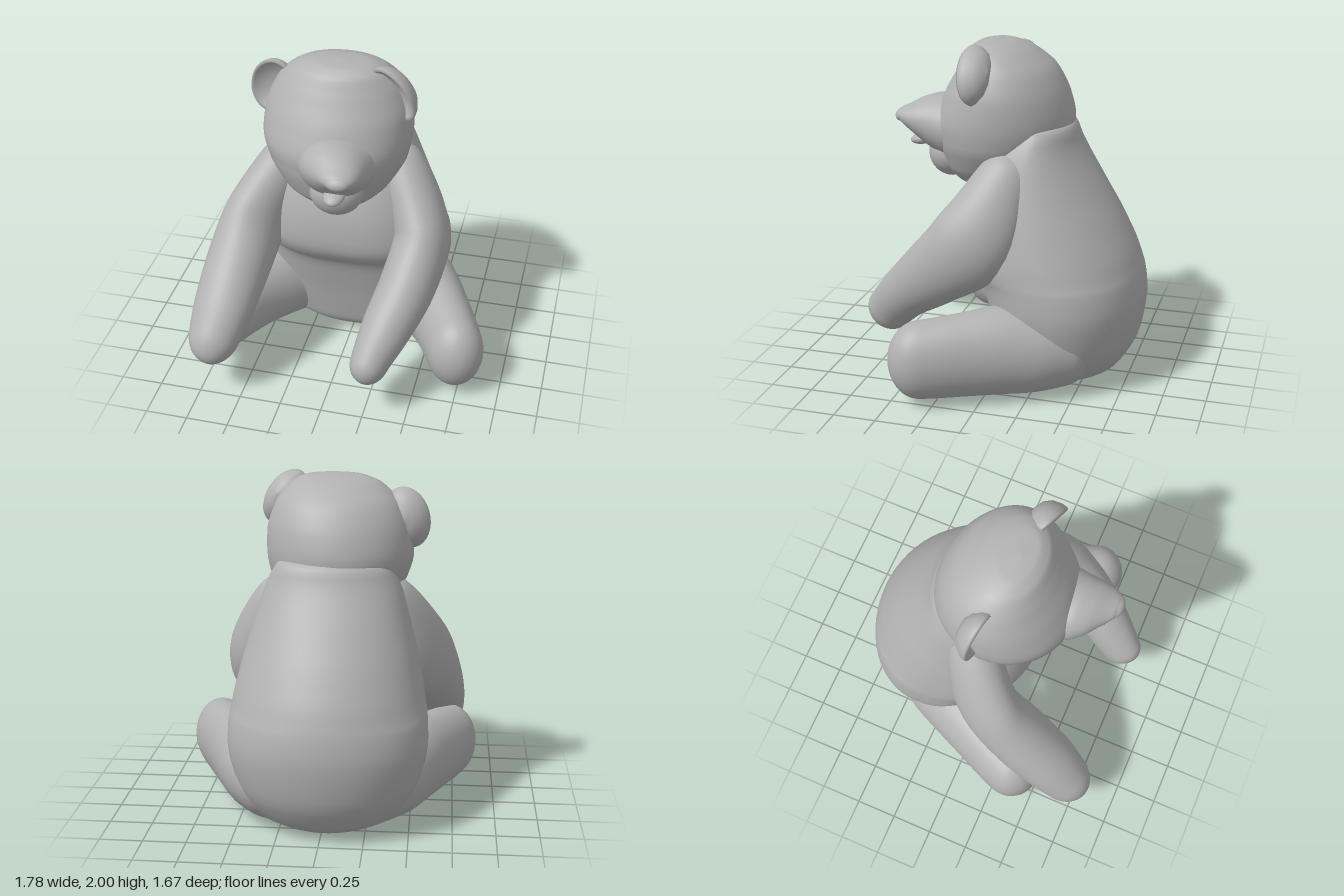
import * as THREE from 'three';

const V = (x, y, z) => new THREE.Vector3(x, y, z);

// Smooth skin through elliptical sections [x, y, z, radiusU, radiusV].
// The U axis is fixed sideways, V is square to U and to the path.
// A frontPower above 2 squares off the half on the negative V side.
function loft(rows, { side, dir = null, cap = false, frontPower = 2, rings = 48, sides = 40 }) {
  const path = new THREE.CatmullRomCurve3(rows.map(r => V(r[0], r[1], r[2])));
  const size = new THREE.CatmullRomCurve3(rows.map(r => V(r[3], r[4], 0)));
  const first = path.getPoint(0), last = path.getPoint(1);
  const pos = [], idx = [];
  const bend = (c, p) => Math.sign(c) * Math.abs(c) ** (2 / p);
  for (let i = 0; i <= rings; i++) {
    const s = (1 - Math.cos(Math.PI * i / rings)) / 2;
    const c = path.getPoint(s), r = size.getPoint(s);
    const t = dir || path.getTangent(s);
    const u = side.clone().addScaledVector(t, -side.dot(t)).normalize();
    const v = t.clone().cross(u);
    let f = 1;
    if (cap) {
      const d = Math.min(c.distanceTo(first), c.distanceTo(last));
      const reach = Math.max(r.x, 0.01);
      if (d < reach) f = Math.sqrt(Math.max(0, 1 - (1 - d / reach) ** 2));
    }
    for (let j = 0; j < sides; j++) {
      const a = 2 * Math.PI * j / sides;
      const power = Math.sin(a) < 0 ? frontPower : 2;
      const p = c.clone()
        .addScaledVector(u, bend(Math.cos(a), power) * Math.max(r.x, 0) * f)
        .addScaledVector(v, bend(Math.sin(a), power) * Math.max(r.y, 0) * f);
      pos.push(p.x, p.y, p.z);
      if (i < rings) {
        const k = i * sides, n = (j + 1) % sides;
        idx.push(k + j, k + n, k + sides + j, k + n, k + sides + n, k + sides + j);
      }
    }
  }
  const g = new THREE.BufferGeometry();
  g.setAttribute('position', new THREE.Float32BufferAttribute(pos, 3));
  g.setIndex(idx);
  g.computeVertexNormals();
  return g;
}

// Upright form from rows [y, x0, x1, zBack, zFront]
function upright(rows, frontPower) {
  const sections = rows.map(([y, x0, x1, z0, z1]) =>
    [(x0 + x1) / 2, y, (z0 + z1) / 2, (x1 - x0) / 2, (z1 - z0) / 2]);
  return loft(sections, { side: V(1, 0, 0), dir: V(0, 1, 0), frontPower, rings: 64, sides: 64 });
}

// Limb with rounded ends
function limb(rows) {
  const a = rows[0], b = rows[rows.length - 1];
  const side = V(b[2] - a[2], 0, a[0] - b[0]).normalize();
  return loft(rows, { side, cap: true });
}

export function createModel() {
  const group = new THREE.Group();
  const grey = new THREE.MeshStandardMaterial({ color: 0xb2b2b2 });
  grey.name = 'plainGrey';
  const add = (name, geometry) => {
    const m = new THREE.Mesh(geometry, grey);
    m.name = name;
    group.add(m);
    return m;
  };
  const blob = (name, [x, y, z], [a, b, c], tilt) => {
    const m = add(name, new THREE.SphereGeometry(1, 28, 18));
    m.position.set(x, y, z);
    m.scale.set(a, b, c);
    m.rotation.x = tilt;
  };

  // Pear-shaped body with the chest folding over the lap
  add('body', upright([
    [0.005, -0.02, -0.02, -0.4, -0.4],
    [0.018, -0.28, 0.24, -0.58, -0.1],
    [0.09, -0.44, 0.4, -0.695, -0.01],
    [0.25, -0.54, 0.5, -0.79, 0.03],
    [0.5, -0.6, 0.56, -0.832, 0.09],
    [0.65, -0.595, 0.555, -0.815, 0.14],
    [0.71, -0.585, 0.545, -0.8, 0.2],
    [0.8, -0.57, 0.53, -0.77, 0.25],
    [1.0, -0.53, 0.48, -0.67, 0.25],
    [1.2, -0.48, 0.42, -0.55, 0.19],
    [1.4, -0.42, 0.35, -0.43, 0.07],
    [1.53, -0.33, 0.27, -0.365, -0.05],
    [1.58, -0.02, -0.02, -0.18, -0.18],
  ], 2.6));

  // Head
  add('head', upright([
    [1.13, -0.03, -0.03, 0.17, 0.17],
    [1.165, -0.22, 0.15, -0.03, 0.31],
    [1.25, -0.355, 0.255, -0.2, 0.39],
    [1.4, -0.455, 0.345, -0.33, 0.44],
    [1.53, -0.49, 0.37, -0.37, 0.45],
    [1.7, -0.47, 0.365, -0.335, 0.385],
    [1.85, -0.4, 0.31, -0.25, 0.3],
    [1.95, -0.29, 0.225, -0.12, 0.24],
    [1.988, -0.18, 0.14, -0.02, 0.18],
    [2.0, -0.02, -0.02, 0.09, 0.09],
  ], 2));

  // Muzzle, nose, tongue and lower jaw
  add('muzzle', loft([
    [0.01, 1.46, 0.22, 0.225, 0.2],
    [0.01, 1.48, 0.36, 0.215, 0.185],
    [0.01, 1.495, 0.44, 0.2, 0.168],
    [0.03, 1.515, 0.52, 0.165, 0.125],
    [0.06, 1.53, 0.59, 0.115, 0.075],
    [0.075, 1.54, 0.64, 0.07, 0.04],
    [0.08, 1.54, 0.67, 0, 0],
  ], { side: V(1, 0, 0), dir: V(0, 0, 1) }));
  blob('nose', [0.08, 1.54, 0.625], [0.07, 0.042, 0.05], 0.3);
  blob('tongue', [0.035, 1.39, 0.52], [0.06, 0.035, 0.085], 0.2);
  blob('lowerJaw', [0.005, 1.315, 0.355], [0.155, 0.145, 0.135], 0.3);

  // Cupped ears
  const cup = new THREE.LatheGeometry([
    [0, -0.085], [0.07, -0.076], [0.13, -0.048], [0.17, 0.0], [0.18, 0.03],
    [0.172, 0.045], [0.155, 0.035], [0.12, 0.01], [0.06, -0.01], [0, -0.015],
  ].map(p => new THREE.Vector2(...p)), 32).rotateX(Math.PI / 2);
  const ear = (name, position, rotation, width) => {
    const m = add(name, cup);
    m.position.set(...position);
    m.rotation.set(...rotation);
    m.scale.set(width, 1, 1);
  };
  ear('rightEar', [-0.44, 1.75, 0.0], [0.05, -0.2, -0.3], 0.76);
  ear('leftEar', [0.285, 1.85, 0.11], [0.3, -0.4, 0.65], 0.68);

  // Arms reaching forward and down
  add('leftArm', limb([
    [0.2, 1.38, -0.1, 0.13, 0.13],
    [0.325, 1.21, -0.04, 0.15, 0.18],
    [0.455, 0.91, 0.1, 0.165, 0.245],
    [0.425, 0.71, 0.32, 0.165, 0.205],
    [0.34, 0.52, 0.54, 0.145, 0.16],
    [0.28, 0.38, 0.67, 0.115, 0.14],
    [0.25, 0.28, 0.765, 0.095, 0.12],
  ]));
  add('rightArm', limb([
    [-0.26, 1.38, -0.1, 0.13, 0.13],
    [-0.395, 1.21, -0.03, 0.15, 0.18],
    [-0.545, 0.91, 0.12, 0.17, 0.24],
    [-0.6, 0.71, 0.33, 0.19, 0.205],
    [-0.64, 0.51, 0.56, 0.18, 0.17],
    [-0.665, 0.37, 0.7, 0.15, 0.145],
    [-0.675, 0.27, 0.8, 0.12, 0.12],
  ]));

  // Splayed legs, broad at the hip
  for (const s of [1, -1]) {
    add(s > 0 ? 'leftLeg' : 'rightLeg', limb([
      [s * 0.17, 0.28, -0.6, 0.2, 0.2],
      [s * 0.265, 0.28, -0.42, 0.245, 0.25],
      [s * 0.38, 0.28, -0.25, 0.245, 0.265],
      [s * 0.495, 0.29, -0.08, 0.215, 0.265],
      [s * 0.605, 0.285, 0.1, 0.185, 0.25],
      [s * 0.71, 0.275, 0.31, 0.172, 0.235],
      [s * 0.785, 0.27, 0.5, 0.16, 0.22],
    ]));
  }
  return group;
}
